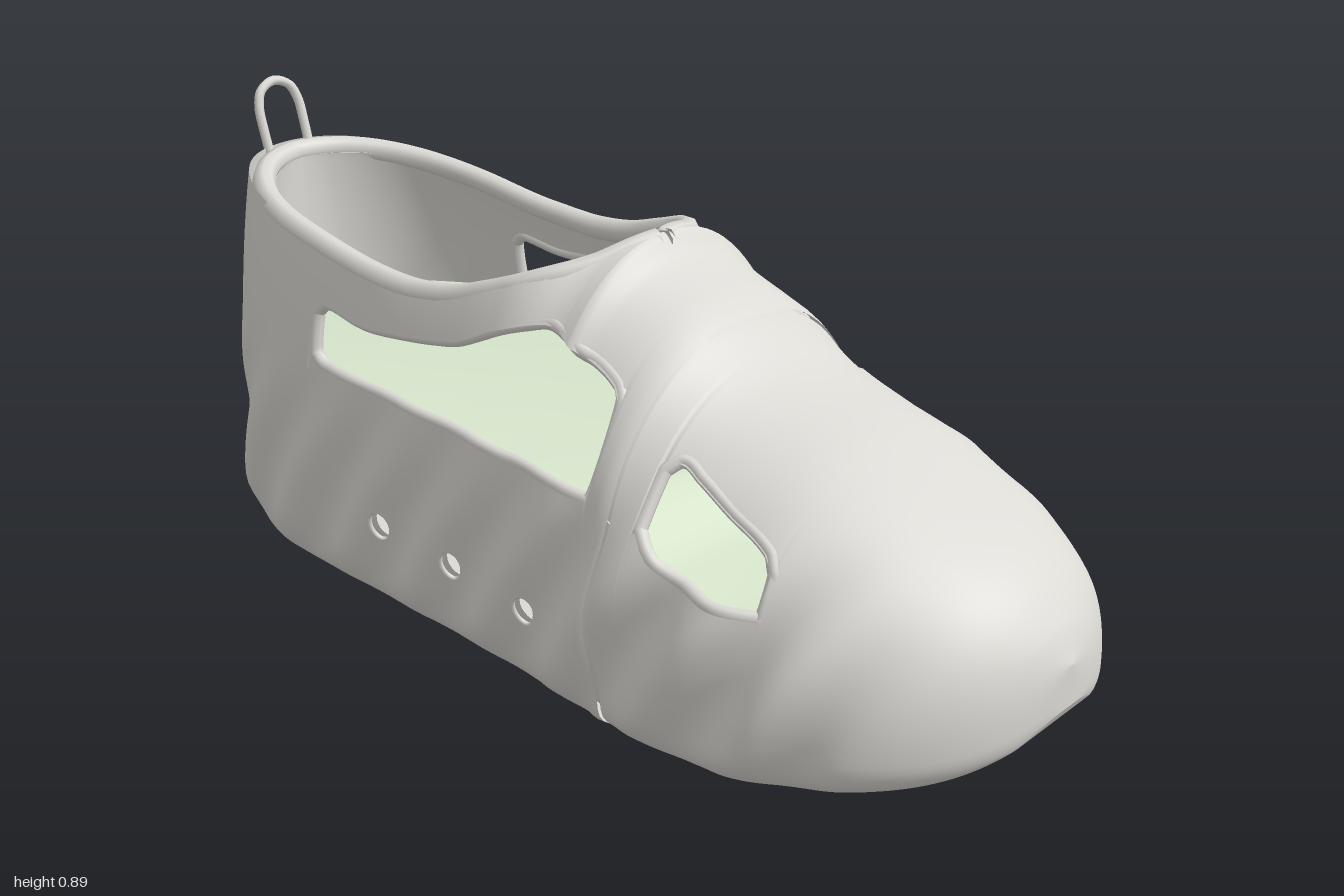
import * as THREE from 'three';
import { mergeVertices } from 'three/addons/utils/BufferGeometryUtils.js';

const mat = (name, color) => new THREE.MeshStandardMaterial({ name, color, side: THREE.DoubleSide });
const clamp = THREE.MathUtils.clamp;
const smooth = THREE.MathUtils.smoothstep;

// Monotone cubic through [x, y] knots
function curve(k) {
  const d = k.slice(1).map((p, i) => (p[1] - k[i][1]) / (p[0] - k[i][0]));
  const m = k.map((_, i) => {
    if (i === 0) return d[0];
    if (i === k.length - 1) return d[i - 1];
    return d[i - 1] * d[i] <= 0 ? 0 : 2 * d[i - 1] * d[i] / (d[i - 1] + d[i]);
  });
  return (x) => {
    x = clamp(x, k[0][0], k[k.length - 1][0]);
    let i = 0;
    while (i < k.length - 2 && x > k[i + 1][0]) i++;
    const h = k[i + 1][0] - k[i][0], t = (x - k[i][0]) / h, u = 1 - t;
    return k[i][1] * (1 + 2 * t) * u * u + m[i] * h * t * u * u
      + k[i + 1][1] * t * t * (3 - 2 * t) - m[i + 1] * h * t * t * u;
  };
}

// Side profile, plan width, collar opening and insole height along x (heel -0.95, toe 1)
const HEEL = -0.95, TOE = 1, SEAM = 0.293;
const top = curve([[-0.95, 0.76], [-0.9, 0.755], [-0.8, 0.74], [-0.6, 0.71], [-0.4, 0.68], [-0.3, 0.675],
  [-0.2, 0.685], [-0.1, 0.715], [0, 0.752], [0.05, 0.77], [0.105, 0.8], [0.14, 0.765], [0.29, 0.685], [0.3, 0.67],
  [0.4, 0.6], [0.6, 0.535], [0.8, 0.445], [0.9, 0.385], [0.97, 0.31], [1, 0.25]]);
const base = curve([[-0.95, 0.58], [-0.94, 0.42], [-0.925, 0.18], [-0.91, 0.09], [-0.89, 0.048], [-0.85, 0.02], [-0.75, 0.004],
  [0, 0], [0.4, 0.003], [0.6, 0.02], [0.8, 0.058], [0.9, 0.085], [0.97, 0.125], [1, 0.17]]);
const plan = curve([[-0.95, 0.32], [-0.6, 0.325], [-0.2, 0.35], [0, 0.37], [0.25, 0.405], [0.45, 0.418], [1, 0.41]]);
const collarRatio = curve([[-0.95, 0.74], [-0.8, 0.77], [-0.4, 0.79], [-0.2, 0.74], [-0.05, 0.64], [0, 0.55], [0.05, 0.38], [0.085, 0.18], [0.105, 0]]);
const insoleHeight = curve([[-0.95, 0.43], [-0.5, 0.44], [0.23, 0.415], [0.4, 0.345], [0.61, 0.315], [0.95, 0.25]]);

function width(x) {
  let w = plan(x);
  if (x < -0.5) w *= Math.max(0, 1 - ((-0.5 - x) / 0.45) ** 2.5) ** 0.45;
  if (x > 0.45) w *= Math.max(0, 1 - ((x - 0.45) / 0.55) ** 2.7) ** 0.5;
  return w;
}

// Half width of the upper at a given length and height, with diagonal folds
function halfWidth(x, y) {
  const B = base(x), T = top(x), y0 = B + 0.18 * (T - B);
  const cut = (1 - collarRatio(x) ** (1 / 0.45)) ** (1 / 2.15);
  let p;
  if (y < y0) p = 0.78 + 0.22 * Math.sqrt(Math.max(0, 1 - ((y0 - y) / (y0 - B)) ** 2));
  else p = Math.max(0, 1 - (clamp((y - y0) / (T - y0), 0, 1) * cut) ** 2.15) ** 0.45;
  const fold = Math.cos(2 * Math.PI * (x + 0.6 - 0.55 * (y - 0.15)) / 0.207);
  const fade = smooth(y, 0, 0.1) * (1 - smooth(y, 0.25, 0.52)) * (1 - 0.85 * smooth(x, 0.62, 0.85));
  const flange = x < SEAM ? 0.02 * Math.exp(-(((x - 0.275) / 0.02) ** 2)) : 0;
  return width(x) * p * (1 + 0.05 * fold * fade + flange);
}

// The lining is set in from the back of the heel
const heelInset = (x, depth) => x + depth * smooth(-x, 0.6, 0.95);

// Cut-outs: two windows and three vents on each side
const windows = [
  { x0: -0.535, x1: 0.235,
    lo: curve([[-0.535, 0.48], [-0.51, 0.462], [-0.4, 0.455], [0, 0.44], [0.235, 0.428]]),
    hi: curve([[-0.535, 0.565], [-0.51, 0.585], [-0.4, 0.572], [-0.3, 0.58], [-0.15, 0.605], [-0.05, 0.65],
      [0.05, 0.675], [0.12, 0.65], [0.22, 0.607], [0.235, 0.59]]) },
  { x0: 0.35, x1: 0.61,
    lo: curve([[0.35, 0.41], [0.4, 0.36], [0.45, 0.342], [0.61, 0.33]]),
    hi: curve([[0.35, 0.5], [0.37, 0.515], [0.42, 0.495], [0.5, 0.46], [0.59, 0.425], [0.61, 0.4]]) },
];
const vents = [[-0.32, 0.193], [-0.11, 0.186], [0.1, 0.176]].map(([c, y]) => {
  const h = (x) => 0.033 * Math.sqrt(Math.max(0, 1 - ((x - c) / 0.021) ** 2));
  return { x0: c - 0.021, x1: c + 0.021, lo: (x) => y - h(x), hi: (x) => y + h(x) };
});
function slit(list, x, rest) {
  const c = list.find((o) => x >= o.x0 - 1e-6 && x <= o.x1 + 1e-6);
  return c ? [c.lo(x), c.hi(x)] : [rest, rest];
}

// Columns along the length, denser at the ends and round the cut-outs
const columns = [];
for (let i = 0; i <= 190; i++) columns.push(HEEL + (TOE - HEEL) * (0.5 - 0.5 * Math.cos(Math.PI * i / 190)));
for (const w of windows) columns.push(w.x0 - 0.006, w.x0, w.x1, w.x1 + 0.006);
for (const v of vents) for (let i = 0; i <= 10; i++) columns.push(v.x0 + (v.x1 - v.x0) * (0.5 - 0.5 * Math.cos(Math.PI * i / 10)));
columns.push(SEAM - 0.002, SEAM + 0.002);
columns.sort((a, b) => a - b);

// Bands from the sole upward; the cut-outs are the gaps between them
const BANDS = [3, 10, 12, 16];
function bandPoint(x, band, t) {
  const B = base(x), T = top(x), H = T - B;
  const [hl, hu] = slit(vents, x, Math.abs(x) < 0.5 ? 0.185 : B + 0.27 * H);
  const [wl, wu] = slit(windows, x, Math.max(B + 0.35 * H, Math.min(0.47, B + 0.63 * H)));
  if (band === 0) return [B, halfWidth(x, B) * t];
  let y;
  if (band === 1) y = B + (hl - B) * (1 - Math.cos(t * Math.PI / 2));
  else if (band === 2) y = hu + (wl - hu) * t;
  else y = wu + (T - wu) * Math.sin(t * Math.PI / 2);
  return [y, halfWidth(x, y)];
}
const outerPoint = (x, side, band, t) => {
  const [y, z] = bandPoint(x, band, t);
  return [x, y, side * z];
};
const liningPoint = (x, side, band, t) => {
  const [y, z] = bandPoint(x, band, t);
  return [heelInset(x, 0.06), clamp(y, base(x) + 0.04, top(x) - 0.02), side * Math.max(0, z - 0.025)];
};
// Shallow dish level with the lower edge of the windows
const insolePoint = (x, side, band, t) => {
  const y = insoleHeight(x);
  return [heelInset(x, 0.055), y - 0.02 * (1 - t * t), side * t * Math.max(0, halfWidth(x, y) - 0.022)];
};

function shell(from, to, bands, point, inward) {
  const xs = columns.filter((x) => x >= from - 1e-6 && x <= to + 1e-6);
  const pos = [], idx = [];
  for (const side of [1, -1]) for (const band of bands) {
    const n = BANDS[band], start = pos.length / 3;
    xs.forEach((x, j) => {
      for (let i = 0; i <= n; i++) {
        pos.push(...point(x, side, band, i / n));
        if (j && i) {
          const d = start + j * (n + 1) + i, c = d - 1, b = d - n - 1, a = b - 1;
          if ((side > 0) !== inward) idx.push(a, c, d, a, d, b);
          else idx.push(a, d, c, a, b, d);
        }
      }
    });
  }
  let g = new THREE.BufferGeometry();
  g.setAttribute('position', new THREE.Float32BufferAttribute(pos, 3));
  g.setIndex(idx);
  g = mergeVertices(g, 1e-4);
  g.computeVertexNormals();
  return g;
}

const tube = (pts, r, closed, seg) =>
  new THREE.TubeGeometry(new THREE.CatmullRomCurve3(pts, closed, 'centripetal'), seg, r, 8, closed);

// Rounded border that follows a cut-out
function rim(cut, side, r, inset, n) {
  const pts = [];
  const add = (x, y) => pts.push(new THREE.Vector3(x, y, side * (halfWidth(x, y) - inset)));
  const at = (i) => cut.x0 + (cut.x1 - cut.x0) * (0.5 - 0.5 * Math.cos(Math.PI * i / n));
  for (let i = 0; i <= n; i++) add(at(i), cut.lo(at(i)));
  for (let i = n; i >= 0; i--) if (cut.hi(at(i)) - cut.lo(at(i)) > 1e-3) add(at(i), cut.hi(at(i)));
  return tube(pts, r, true, n * 6);
}

export function createModel() {
  const grey = mat('shellGrey', 0xdcdad5);
  const green = mat('insoleGreen', 0xd6e4cb);
  const dark = mat('heelTrimDark', 0x5c5c5a);
  const model = new THREE.Group();
  model.name = 'shoe';
  const add = (name, geo, m) => {
    const mesh = new THREE.Mesh(geo, m);
    mesh.name = name;
    model.add(mesh);
    return mesh;
  };

  // Outer shell in two parts, split by the seam
  add('rearShell', shell(HEEL, SEAM - 0.002, [0, 1, 2, 3], outerPoint, false), grey);
  add('toeCap', shell(SEAM + 0.002, TOE, [0, 1, 2, 3], outerPoint, false), grey);

  // Lining and insole
  add('lining', shell(HEEL, 0.985, [0, 1, 2, 3], liningPoint, true), grey);
  add('insole', shell(HEEL, 0.95, [1], insolePoint, true), green);

  // Borders of windows and vents
  for (const side of [1, -1]) {
    for (const w of windows) add('windowRim', rim(w, side, 0.0135, 0.015, 24), grey);
    for (const v of vents) add('ventRim', rim(v, side, 0.005, 0.006, 8), grey);
  }

  // Rolled collar edge, ending in a point over the instep
  const half = [];
  for (let i = 0; i <= 36; i++) {
    const x = HEEL + 1.055 * (0.5 - 0.5 * Math.cos(Math.PI * i / 36));
    half.push(new THREE.Vector3(heelInset(x, 0.032), top(x) - 0.016, Math.max(0, halfWidth(x, top(x)) - 0.016)));
  }
  const back = half.slice(1, -1).reverse().map((p) => new THREE.Vector3(p.x, p.y, -p.z));
  add('collarRim', tube([...half, ...back], 0.024, true, 220), grey);

  // Pull loop at the heel
  const loop = [[0.72, 0.052], [0.79, 0.054], [0.84, 0.052], [0.87, 0.038], [0.885, 0]];
  const loopPts = [...loop, ...loop.slice(0, -1).reverse().map(([y, z]) => [y, -z])]
    .map(([y, z]) => new THREE.Vector3(-0.935 - (y - 0.72) * 0.29, y, z - 0.01));
  add('pullLoop', tube(loopPts, 0.01, false, 48), grey);

  // Heel peg and strip
  const peg = add('heelPeg', new THREE.CylinderGeometry(0.014, 0.014, 0.06, 12), dark);
  peg.rotation.z = Math.PI / 2;
  peg.position.set(-0.97, 0.682, -0.01);
  const strip = add('heelStrip', new THREE.BoxGeometry(0.022, 0.3, 0.03), dark);
  strip.position.set(-0.945, 0.48, -0.01);
  strip.rotation.z = 0.04;

  // Small tab on the right side wall
  const tab = add('sideTab', new THREE.BoxGeometry(0.035, 0.045, 0.03), grey);
  tab.position.set(-0.17, 0.34, -halfWidth(-0.17, 0.34));
  return model;
}
